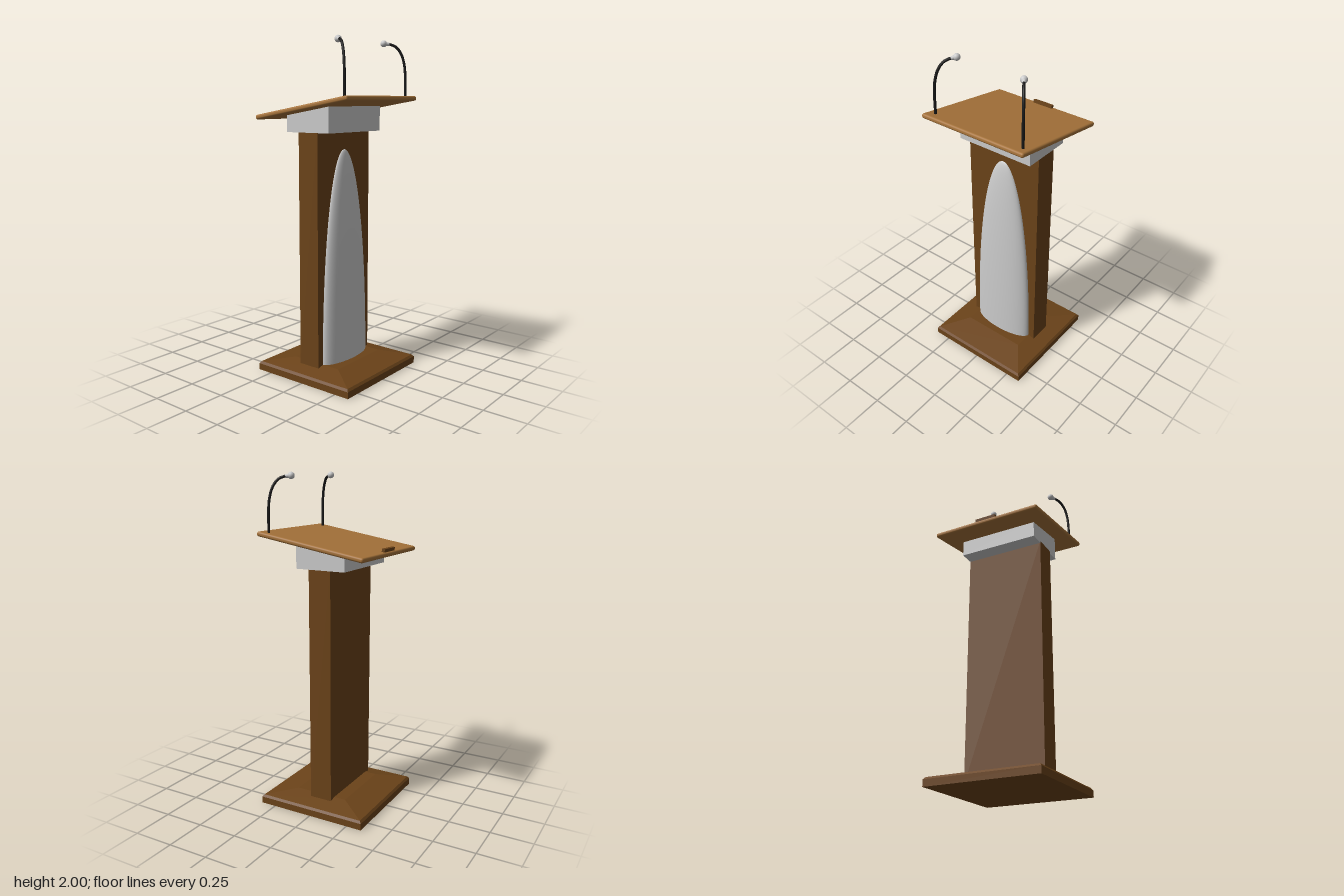
import * as THREE from 'three';
import { RoundedBoxGeometry } from 'three/addons/geometries/RoundedBoxGeometry.js';

const mat = (color, opts = {}) => new THREE.MeshStandardMaterial({ color, ...opts });
const darkWood = mat(0x6b4319, { flatShading: true });
const lightWood = mat(0xa6733a);
const grey = mat(0xcccccc);
const black = mat(0x181818);

function add(parent, name, geometry, material, x = 0, y = 0, z = 0) {
  const mesh = new THREE.Mesh(geometry, material);
  mesh.name = name;
  mesh.position.set(x, y, z);
  parent.add(mesh);
  return mesh;
}

// Closed solid through stacked rectangles, each given as [y, half width, half depth]
function stackedRectangles(sections) {
  const pos = [], index = [];
  for (const [y, w, d] of sections) pos.push(-w, y, d, w, y, d, w, y, -d, -w, y, -d);
  for (let s = 0; s < sections.length - 1; s++) {
    for (let i = 0; i < 4; i++) {
      const a = s * 4 + i, b = s * 4 + (i + 1) % 4;
      index.push(a, b, b + 4, a, b + 4, a + 4);
    }
  }
  const t = (sections.length - 1) * 4;
  index.push(0, 2, 1, 0, 3, 2, t, t + 1, t + 2, t, t + 2, t + 3);
  const g = new THREE.BufferGeometry();
  g.setAttribute('position', new THREE.Float32BufferAttribute(pos, 3));
  g.setIndex(index);
  g.computeVertexNormals();
  return g;
}

// Half-elliptical sections that shrink to a point along an elliptical outline
function shellGeometry(depth, halfWidth, height, rows = 32, cols = 28) {
  const pos = [], index = [];
  for (let r = 0; r <= rows; r++) {
    const a = (r / rows) * Math.PI / 2, s = Math.cos(a);
    for (let c = 0; c <= cols; c++) {
      const b = (c / cols - 0.5) * Math.PI;
      pos.push(depth * s * Math.cos(b), height * Math.sin(a), -halfWidth * s * Math.sin(b));
      if (r < rows && c < cols) {
        const i = r * (cols + 1) + c, j = i + cols + 1;
        index.push(i, i + 1, j + 1, i, j + 1, j);
      }
    }
  }
  const g = new THREE.BufferGeometry();
  g.setAttribute('position', new THREE.Float32BufferAttribute(pos, 3));
  g.setIndex(index);
  g.computeVertexNormals();
  return g;
}

// Gooseneck microphone: stalk, collar and ball; side is +1 or -1 in z
function microphone(side) {
  const group = new THREE.Group();
  group.name = side > 0 ? 'leftMicrophone' : 'rightMicrophone';
  const points = [
    [0.275, 1.64], [0.275, 1.72], [0.274, 1.79], [0.269, 1.855],
    [0.253, 1.92], [0.228, 1.96], [0.198, 1.976], [0.17, 1.98],
  ].map(([x, y]) => {
    const f = (0.275 - x) / 0.105;
    return new THREE.Vector3(x, y, -0.007 + side * (0.297 - 0.078 * f));
  });
  const curve = new THREE.CatmullRomCurve3(points);
  add(group, 'stalk', new THREE.TubeGeometry(curve, 40, 0.008, 10), black);
  const tip = points[points.length - 1];
  const dir = curve.getTangent(1);
  const collar = add(group, 'collar', new THREE.CylinderGeometry(0.013, 0.009, 0.022, 16), grey);
  collar.position.copy(tip).addScaledVector(dir, -0.022);
  collar.quaternion.setFromUnitVectors(new THREE.Vector3(0, 1, 0), dir);
  add(group, 'ball', new THREE.SphereGeometry(0.02, 20, 14), grey, tip.x, tip.y, tip.z);
  return group;
}

export function createModel() {
  const model = new THREE.Group();
  model.name = 'lectern';

  // Foot with bevelled rim and gently sloping top
  add(model, 'base', stackedRectangles([
    [0, 0.345, 0.345], [0.04, 0.345, 0.345], [0.053, 0.334, 0.334], [0.084, 0.165, 0.205],
  ]), darkWood);

  // Upright and its bulging front cover
  add(model, 'column', new THREE.BoxGeometry(0.14, 1.43, 0.494), darkWood, -0.02, 0.765, 0.001);
  const cover = mat(0xcccccc, { side: THREE.DoubleSide });
  add(model, 'frontCover', shellGeometry(0.072, 0.205, 1.285), cover, 0.049, 0.078, 0.001);

  // Wedge that carries the sloping desk
  const wedge = new THREE.Shape([
    [-0.18, 1.466], [0.132, 1.466], [0.132, 1.618], [-0.18, 1.566],
  ].map(([x, y]) => new THREE.Vector2(x, y)));
  add(model, 'deskSupport',
    new THREE.ExtrudeGeometry(wedge, { depth: 0.494, bevelEnabled: false }), grey, 0, 0, -0.246);

  // Sloping desk with a small paper stop at its low edge
  const desk = new THREE.Group();
  desk.name = 'desk';
  desk.position.set(-0.006, 1.606, -0.001);
  desk.rotation.z = 0.165;
  add(desk, 'deskTop', new RoundedBoxGeometry(0.685, 0.028, 0.69, 4, 0.012), lightWood);
  add(desk, 'paperStop', new THREE.BoxGeometry(0.018, 0.03, 0.13), darkWood, -0.321, 0.018, -0.001);
  model.add(desk);

  for (const side of [1, -1]) model.add(microphone(side));
  return model;
}
